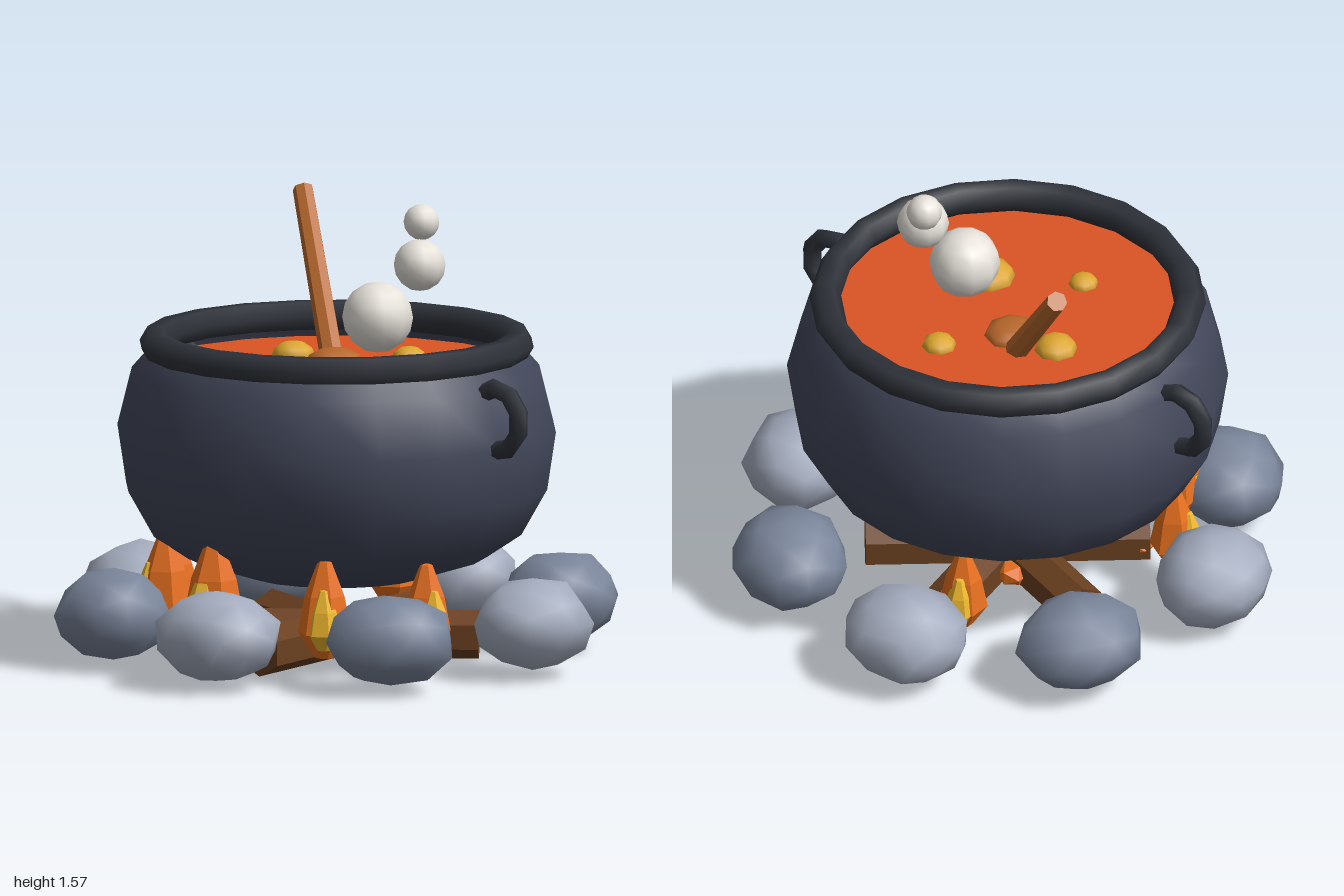
import * as THREE from 'three';
import { mergeVertices } from 'three/addons/utils/BufferGeometryUtils.js';

const mat = (color, opts = {}) => new THREE.MeshStandardMaterial({ color, ...opts });
const iron = mat(0x42475a, { side: THREE.DoubleSide });
const darkIron = mat(0x2e3239);
const soupMat = mat(0xdb5423);
const chunkMat = mat(0xdca62e);
const steamMat = mat(0xe6e2da);
const spoonMat = mat(0xb8682c, { flatShading: true });
const logMat = mat(0x6b4020, { flatShading: true });
const fireMat = mat(0xe8701e, { flatShading: true });
const coreMat = mat(0xf0b92e, { flatShading: true });
const stoneMats = [mat(0xa4acbe), mat(0x7a859a)];

const profile = (pts) => pts.map(([x, y]) => new THREE.Vector2(x, y));

function add(parent, name, geometry, material, x = 0, y = 0, z = 0) {
  const mesh = new THREE.Mesh(geometry, material);
  mesh.name = name;
  mesh.position.set(x, y, z);
  parent.add(mesh);
  return mesh;
}

// Rounded stone: a low sphere with gently pushed vertices and smooth normals
function stoneGeometry(seed) {
  let geo = new THREE.IcosahedronGeometry(1, 1);
  geo.deleteAttribute('normal');
  geo.deleteAttribute('uv');
  geo = mergeVertices(geo, 1e-3);
  const p = geo.attributes.position;
  const v = new THREE.Vector3();
  for (let i = 0; i < p.count; i++) {
    v.fromBufferAttribute(p, i);
    v.multiplyScalar(1 + 0.06 * Math.sin(v.x * 5 + seed * 2.1) * Math.cos(v.z * 4 + v.y * 3 + seed));
    p.setXYZ(i, v.x, v.y, v.z);
  }
  geo.scale(0.2, 0.16, 0.225);
  geo.computeVertexNormals();
  return geo;
}

function buildPot() {
  const pot = new THREE.Group();
  pot.name = 'cauldron';
  const wall = profile([[0, 0.28], [0.3, 0.29], [0.52, 0.36], [0.64, 0.44], [0.73, 0.6],
    [0.76, 0.8], [0.71, 1.0], [0.64, 1.08]]);
  add(pot, 'potBody', new THREE.LatheGeometry(wall, 20), iron);
  add(pot, 'rim', new THREE.TorusGeometry(0.628, 0.055, 6, 20).rotateX(Math.PI / 2), darkIron, 0, 1.095, 0);

  // Ring handles, open towards the wall
  for (const side of [1, -1]) {
    const ring = new THREE.TorusGeometry(0.11, 0.034, 6, 6, Math.PI * 1.3).rotateZ(-Math.PI * 0.55);
    const handle = add(pot, side > 0 ? 'leftHandle' : 'rightHandle', ring, darkIron, side * 0.75, 0.91, 0);
    if (side < 0) handle.rotation.y = Math.PI;
  }
  return pot;
}

function buildSoup() {
  const soup = new THREE.Group();
  soup.name = 'soup';
  add(soup, 'soupSurface', new THREE.CylinderGeometry(0.64, 0.64, 0.04, 20), soupMat, 0, 1.0, 0);
  for (const [x, z, r] of [[0.08, -0.28, 0.06], [-0.25, -0.05, 0.075], [0.2, 0.15, 0.092], [-0.08, 0.32, 0.052]]) {
    add(soup, 'soupBubble', new THREE.SphereGeometry(r, 8, 6).scale(1, 0.7, 1), chunkMat, x, 1.02, z);
  }
  for (const [x, y, z, r] of [[0.16, 1.2, -0.035, 0.123], [0.26, 1.38, -0.14, 0.09], [0.18, 1.51, -0.235, 0.062]]) {
    add(soup, 'steamPuff', new THREE.SphereGeometry(r, 10, 8), steamMat, x, y, z);
  }
  return soup;
}

function buildSpoon() {
  const spoon = new THREE.Group();
  spoon.name = 'spoon';
  const low = new THREE.Vector3(-0.1, 0.96, -0.1);
  const tip = new THREE.Vector3(-0.53, 1.53, -0.4);
  const dir = tip.clone().sub(low);
  const stick = add(spoon, 'spoonHandle', new THREE.CylinderGeometry(0.036, 0.042, dir.length(), 7), spoonMat);
  stick.position.copy(low).addScaledVector(dir, 0.5);
  stick.quaternion.setFromUnitVectors(new THREE.Vector3(0, 1, 0), dir.normalize());
  add(spoon, 'spoonBowl', new THREE.SphereGeometry(0.1, 8, 6).scale(1, 0.5, 1), mat(0xb8682c), -0.075, 1.015, -0.07);
  return spoon;
}

function buildFire() {
  const fire = new THREE.Group();
  fire.name = 'campfire';

  // Three crossed six-sided logs, each resting on an edge
  for (const deg of [20, 80, 140]) {
    const geo = new THREE.CylinderGeometry(0.085, 0.085, 0.98, 6).rotateY(Math.PI / 2).rotateZ(Math.PI / 2);
    add(fire, 'log', geo, logMat, 0, 0.085, 0).rotation.y = -THREE.MathUtils.degToRad(deg);
  }

  // Teardrop flames with a bright core on the outer face
  const flameGeo = new THREE.LatheGeometry(profile([[0, 0], [0.035, 0], [0.088, 0.08], [0.065, 0.2],
    [0.022, 0.31], [0, 0.315]]), 6);
  for (const [x, z, top] of [[0, 0.62, 0.49], [0.39, 0.48, 0.44], [-0.37, 0.47, 0.45],
    [0.57, 0.16, 0.41], [-0.55, 0.23, 0.41], [-0.2, -0.5, 0.4]]) {
    const s = (top - 0.1) / 0.315;
    const out = 1 + 0.05 / Math.hypot(x, z);
    add(fire, 'flame', flameGeo, fireMat, x, 0.1, z).scale.setScalar(s);
    add(fire, 'flameCore', flameGeo, coreMat, x * out, 0.1 + 0.03 * s, z * out).scale.set(s * 0.65, s * 0.62, s * 0.65);
  }

  // Glowing embers between the logs
  for (const [x, z] of [[-0.13, -0.14], [-0.17, 0.13], [-0.36, 0.27], [-0.05, 0.38]]) {
    add(fire, 'ember', new THREE.IcosahedronGeometry(0.055, 0).scale(1.1, 0.8, 1), fireMat, x, 0.08, z);
  }

  // Ring of eight stones in alternating greys
  for (let i = 0; i < 8; i++) {
    const a = THREE.MathUtils.degToRad(-11.5 + 45 * i);
    const stone = add(fire, 'stone', stoneGeometry(i), stoneMats[i % 2], 0.79 * Math.cos(a), 0.183, 0.79 * Math.sin(a));
    stone.rotation.y = -a;
  }
  return fire;
}

export function createModel() {
  const model = new THREE.Group();
  model.name = 'cauldronOverCampfire';
  model.add(buildPot(), buildSoup(), buildSpoon(), buildFire());
  return model;
}
